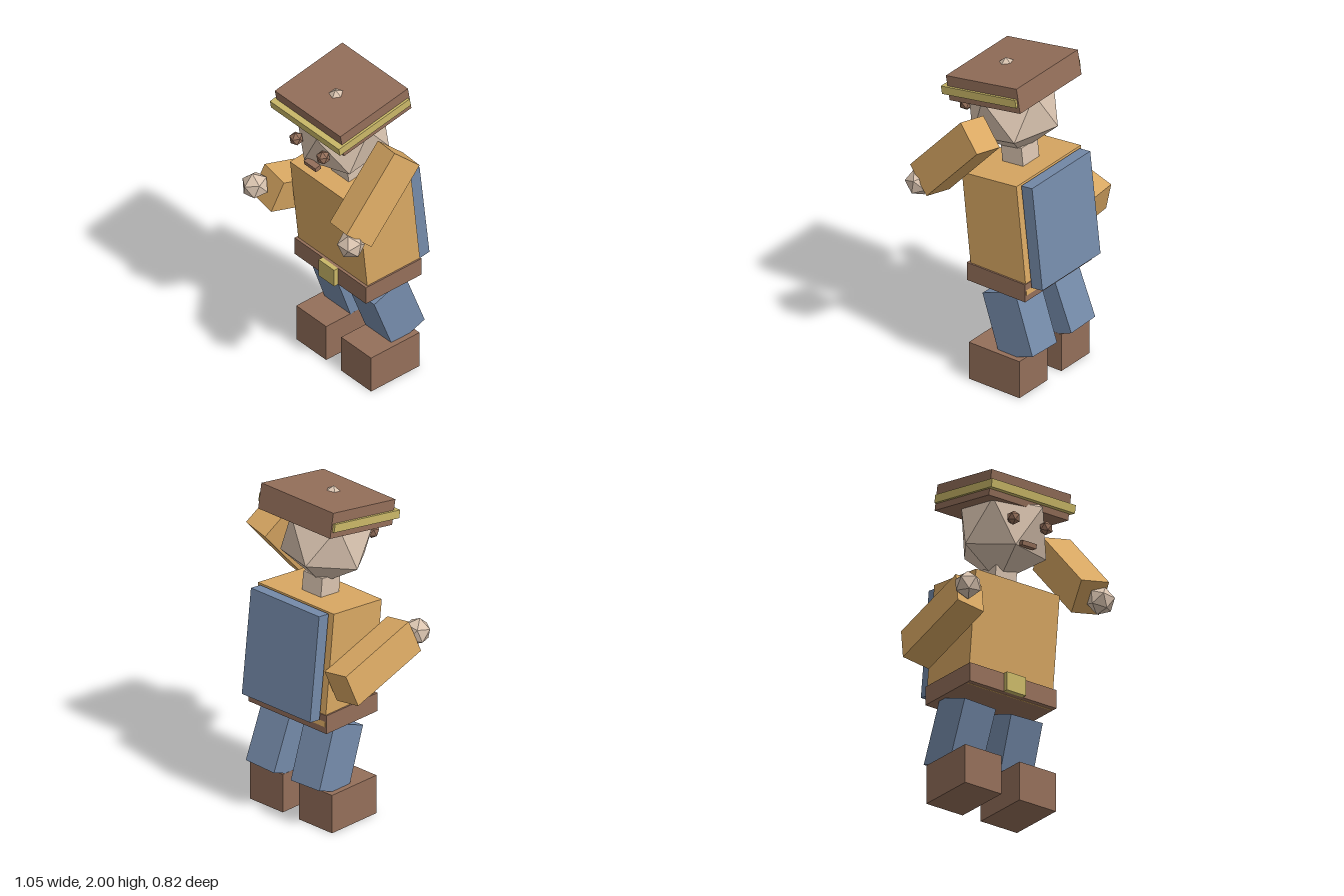
import * as THREE from 'three';
import { ConvexGeometry } from 'three/addons/geometries/ConvexGeometry.js';

const flat = (name, color) => {
  const m = new THREE.MeshStandardMaterial({ color });
  m.name = name;
  return m;
};

// Twenty-sided ball standing on a vertex: two poles and two staggered rings of five
function facetedBall(r) {
  const pts = [new THREE.Vector3(0, r, 0), new THREE.Vector3(0, -r, 0)];
  const ring = r * 0.8944, h = r * 0.4472;
  for (let i = 0; i < 5; i++) {
    const a = (i * Math.PI * 2) / 5;
    const x = Math.cos(a) * ring, z = Math.sin(a) * ring;
    pts.push(new THREE.Vector3(x, h, z), new THREE.Vector3(-x, -h, -z));
  }
  return new ConvexGeometry(pts);
}

export function createModel() {
  const model = new THREE.Group();
  model.name = 'blockFigure';

  const skin = flat('skin', 0xdac4b0);
  const brown = flat('brownLeather', 0x946f5a);
  const orange = flat('orangeCloth', 0xd9a863);
  const blue = flat('blueCloth', 0x758baa);
  const yellow = flat('yellowTrim', 0xcab868);

  const add = (name, geometry, material, pos, rot = [0, 0, 0]) => {
    const mesh = new THREE.Mesh(geometry, material);
    mesh.name = name;
    mesh.position.set(...pos);
    mesh.rotation.set(...rot);
    model.add(mesh);
    return mesh;
  };
  const box = (name, size, material, pos, rot) =>
    add(name, new THREE.BoxGeometry(...size), material, pos, rot);

  // Boots and bent legs
  for (const [side, s] of [['left', 1], ['right', -1]]) {
    box(side + 'Boot', [0.26, 0.24, 0.365], brown, [s * 0.195, 0.12, -0.108]);
    box(side + 'Leg', [0.225, 0.396, 0.25], blue, [s * 0.173, 0.42, -0.175], [0.35, 0, s * 0.03]);
  }

  // Belt with buckle, leaning torso, back panel and neck
  box('belt', [0.62, 0.115, 0.42], brown, [0, 0.692, -0.11]);
  box('buckle', [0.135, 0.115, 0.06], yellow, [0, 0.692, 0.1]);
  box('torso', [0.6, 0.695, 0.395], orange, [0, 1.0, -0.09], [0.107, 0, 0]);
  box('backPanel', [0.54, 0.65, 0.078], blue, [0, 1.045, -0.338], [0.115, 0, 0]);
  box('neck', [0.15, 0.16, 0.15], skin, [0, 1.38, -0.045], [0.107, 0, 0]);

  // Head and face
  const tilt = [0.175, 0, 0];
  add('head', facetedBall(0.288), skin, [0, 1.682, 0.01], tilt).scale.y = 1.025;
  for (const [side, s] of [['left', 1], ['right', -1]]) {
    add(side + 'Eye', facetedBall(0.042), brown, [s * 0.117, 1.655, 0.256], tilt);
  }
  box('mouth', [0.1, 0.028, 0.04], brown, [0, 1.524, 0.235], tilt);

  // Hat: the crown of the head just pokes through its top
  box('hat', [0.57, 0.155, 0.517], brown, [0, 1.877, 0.003], tilt);
  box('hatBand', [0.6, 0.05, 0.543], yellow, [0, 1.86, 0.024], tilt);

  // Arms: oriented by their width direction and their shoulder-to-hand direction
  const arm = (side, centre, across, along, handPos) => {
    const x = new THREE.Vector3(...across).normalize();
    const y = new THREE.Vector3(...along).negate().normalize();
    const z = new THREE.Vector3().crossVectors(x, y).normalize();
    x.crossVectors(y, z);
    const turn = new THREE.Matrix4().makeBasis(x, y, z);
    box(side + 'Arm', [0.181, 0.543, 0.208], orange, centre).quaternion.setFromRotationMatrix(turn);
    add(side + 'Hand', facetedBall(0.083), skin, handPos).quaternion.setFromRotationMatrix(turn);
  };
  arm('left', [0.4025, 1.488, 0.1145], [0.176, 0.0265, 0.026], [0, -0.403, 0.363], [0.45, 1.262, 0.335]);
  arm('right', [-0.4035, 1.03, -0.037], [0.182, -0.03, 0.01], [0, 0.17, 0.516], [-0.456, 1.13, 0.272]);

  return model;
}
